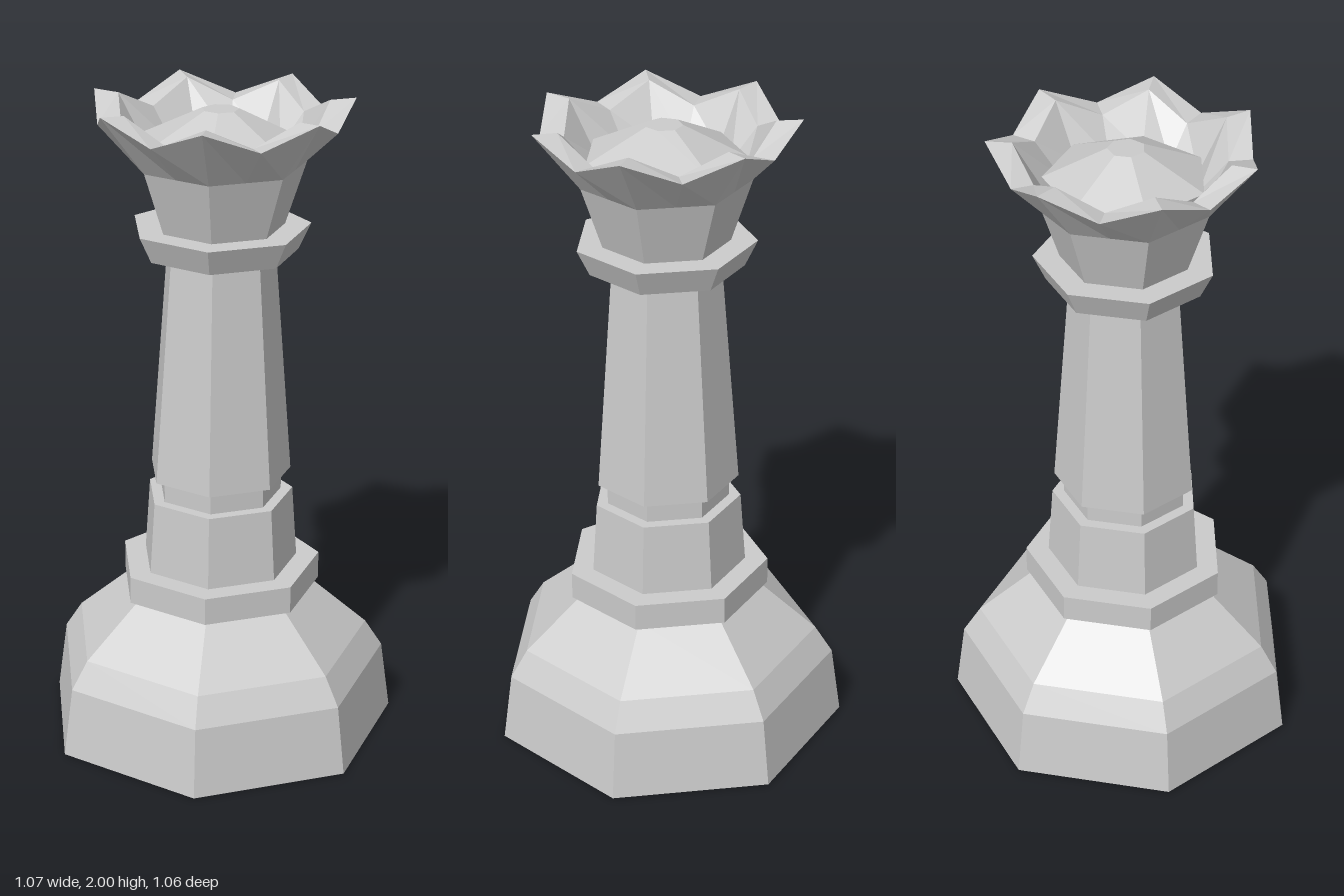
import * as THREE from 'three';

const SIDES = 7;
const PHASE = -0.075; // turn of the heptagon about the vertical axis

const material = new THREE.MeshStandardMaterial({ color: 0xcccccc, flatShading: true });

// Seven-sided turned part from [radius, height] pairs, listed from bottom to top
function turned(name, profile, segments = SIDES) {
  const points = profile.map(([r, y]) => new THREE.Vector2(r, y));
  const mesh = new THREE.Mesh(new THREE.LatheGeometry(points, segments, PHASE), material);
  mesh.name = name;
  return mesh;
}

// Flared cup whose rim zigzags: peaks at the corners, notches at mid-side
function crownCup() {
  const profile = [
    [0, 1.61], [0.19, 1.61], [0.256, 1.81], // outside
    [0.397, 1.995], [0.32, 1.99], // rim
    [0.23, 1.83], [0, 1.83], // inside
  ];
  const mesh = turned('crown', profile, SIDES * 2);
  const pos = mesh.geometry.attributes.position;
  const flat = Math.cos(Math.PI / SIDES);
  for (let i = 0; i < pos.count; i++) {
    const column = Math.floor(i / profile.length);
    const row = i % profile.length;
    if (column % 2 === 0) continue;
    // mid-side columns sit on the straight heptagon edge
    const drop = row === 3 || row === 4 ? 0.065 : 0;
    pos.setXYZ(i, pos.getX(i) * flat, pos.getY(i) - drop, pos.getZ(i) * flat);
  }
  mesh.geometry.computeVertexNormals();
  return mesh;
}

export function createModel() {
  const group = new THREE.Group();
  group.name = 'chessQueen';

  group.add(
    turned('base', [[0, 0], [0.552, 0], [0.522, 0.215], [0.468, 0.3], [0.28, 0.465], [0, 0.465]]),
    turned('baseCollar', [[0, 0.46], [0.314, 0.46], [0.314, 0.545], [0, 0.545]]),
    turned('lowerStem', [[0, 0.54], [0.244, 0.54], [0.228, 0.77], [0, 0.77]]),
    turned('stemGroove', [[0.192, 0.76], [0.192, 0.845]]),
    turned('upperStem', [[0, 0.838], [0.221, 0.838], [0.167, 1.545], [0, 1.545]]),
    turned('neckRing', [[0, 1.54], [0.234, 1.54], [0.272, 1.62], [0, 1.62]]),
    crownCup(),
    // faceted dome inside the crown
    turned('crownDome', [[0.23, 1.82], [0.24, 1.88], [0.055, 1.97], [0, 1.97]]),
  );

  // the piece leans very slightly to its left
  group.rotation.z = -0.0065;
  group.position.set(-0.009, 0.0035, -0.0185);
  return group;
}
